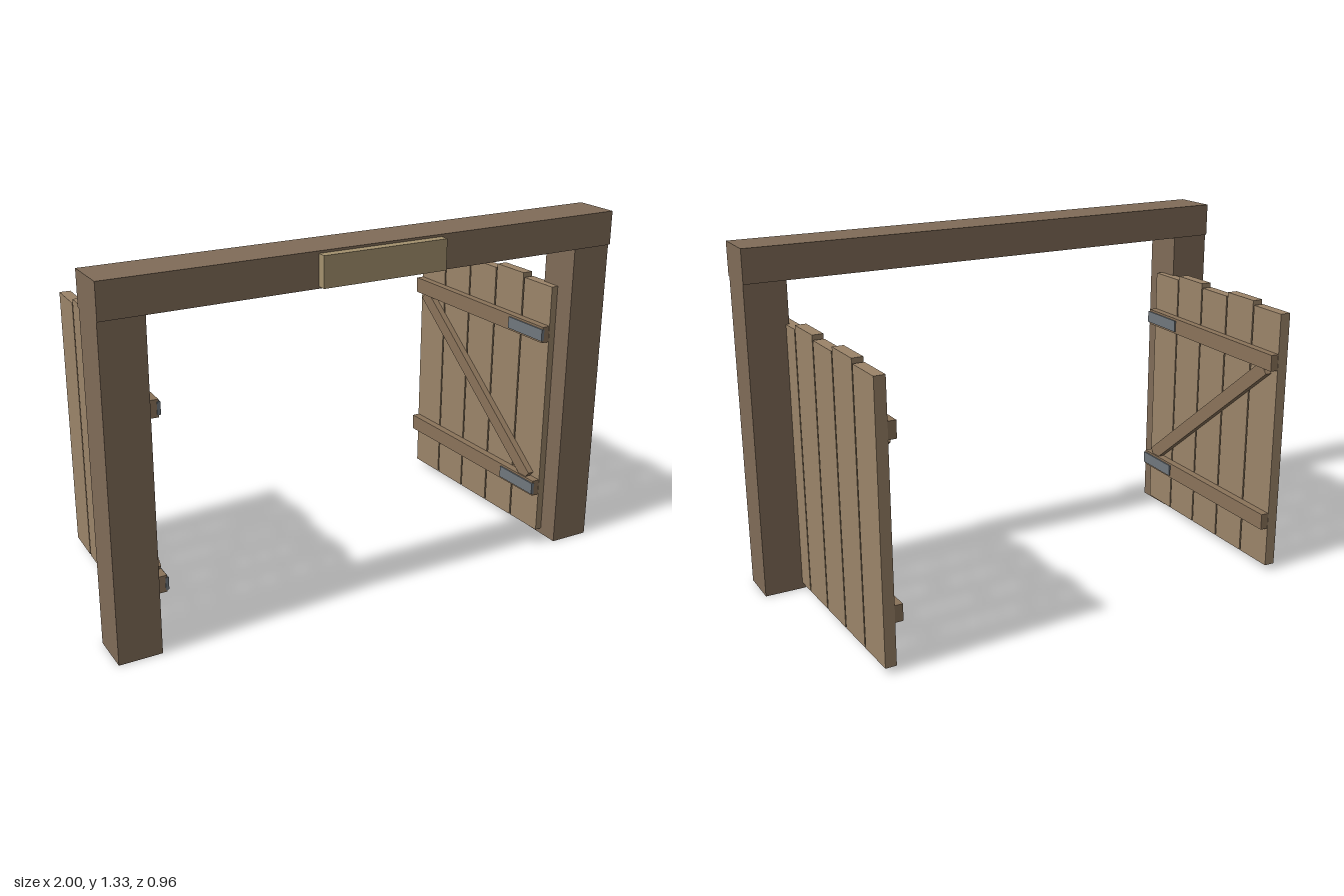
import * as THREE from 'three';

const mat = (color) => new THREE.MeshStandardMaterial({ color });
const frameMat = mat(0x806c58);
const plankMat = mat(0x9b8469);
const braceMat = mat(0x8a735a);
const signMat = mat(0xa4926e);
const ironMat = mat(0x70777d);

function box(parent, name, size, pos, material) {
  const mesh = new THREE.Mesh(new THREE.BoxGeometry(...size), material);
  mesh.name = name;
  mesh.position.set(...pos);
  parent.add(mesh);
  return mesh;
}

// One open door leaf; side is +1 for the model's left, -1 for its right
function createDoor(side) {
  const door = new THREE.Group();
  door.name = side > 0 ? 'leftDoor' : 'rightDoor';
  door.position.set(side * 0.822, 0, -0.06);
  door.rotation.y = side * 0.03;

  // Five upright planks, every second one slightly taller
  for (let i = 0; i < 5; i++) {
    const height = i % 2 ? 1.035 : 1.018;
    box(door, 'plank', [0.042, height, 0.161], [0, 0.023 + height / 2, (2 - i) * 0.168], plankMat);
  }

  // Two rails with hinge straps on the inner face
  for (const y of [0.213, 0.855]) {
    box(door, 'rail', [0.031, 0.063, 0.83], [-side * 0.0365, y, 0], braceMat);
    box(door, 'hingeStrap', [0.012, 0.046, 0.2], [-side * 0.052, y, 0.317], ironMat);
  }

  // Diagonal brace rising away from the post
  const brace = box(door, 'brace', [0.025, 0.054, 0.93], [-side * 0.0335, 0.534, 0], braceMat);
  brace.rotation.x = Math.atan(0.8);
  return door;
}

export function createModel() {
  const model = new THREE.Group();
  model.name = 'gateway';

  // Frame
  box(model, 'lintel', [2, 0.127, 0.175], [0, 1.2655, 0.3575], frameMat);
  box(model, 'signBoard', [0.48, 0.111, 0.036], [0, 1.265, 0.461], signMat);

  for (const side of [1, -1]) {
    box(model, side > 0 ? 'leftPost' : 'rightPost', [0.158, 1.204, 0.16], [side * 0.92, 0.602, 0.357], frameMat);
    model.add(createDoor(side));
  }
  return model;
}
